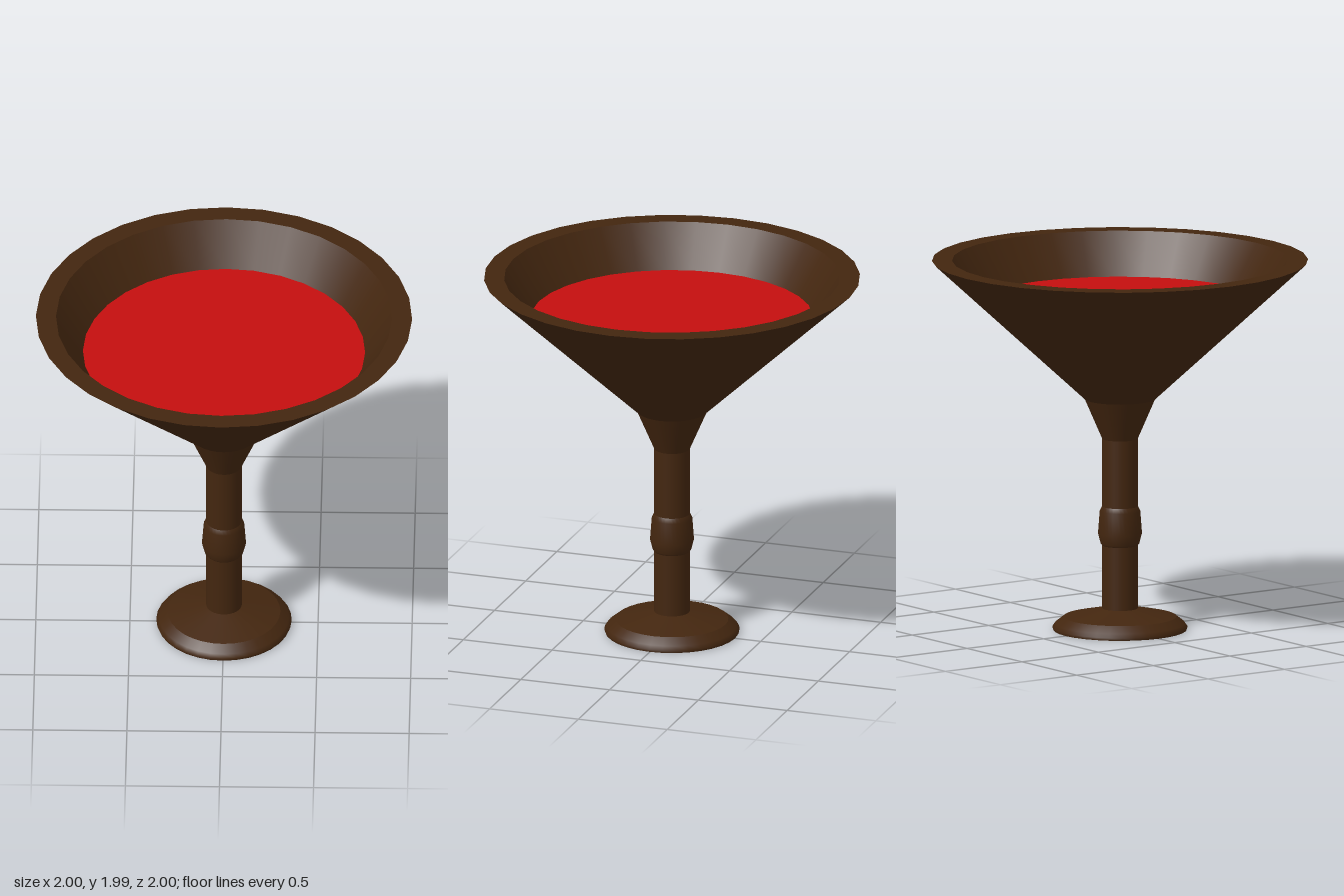
import * as THREE from 'three';

const SIDES = 32;

export function createModel() {
  const goblet = new THREE.Group();
  goblet.name = 'goblet';

  const wood = new THREE.MeshStandardMaterial({ color: 0x43260f });
  wood.name = 'dark brown';
  const wine = new THREE.MeshStandardMaterial({ color: 0xc40e0e });
  wine.name = 'red';

  // Each turned section is its own lathe, so edges between sections stay sharp.
  // Profiles are [radius, height] pairs and run up the outside, then down the inside.
  function turned(name, profile, material = wood) {
    const points = profile.map(([r, y]) => new THREE.Vector2(r, y));
    const mesh = new THREE.Mesh(new THREE.LatheGeometry(points, SIDES), material);
    mesh.name = name;
    goblet.add(mesh);
  }

  // Foot
  turned('footUnderside', [[0, 0], [0.355, 0]]);
  turned('footRim', [[0.355, 0], [0.36, 0.015], [0.345, 0.035], [0.3, 0.07]]);
  turned('footTop', [[0.3, 0.07], [0.095, 0.115]]);

  // Stem with its swollen knob
  turned('lowerStem', [[0.095, 0.115], [0.095, 0.455]]);
  turned('stemKnob', [[0.095, 0.455], [0.103, 0.465], [0.117, 0.52], [0.108, 0.64], [0.095, 0.665]]);
  turned('upperStem', [[0.095, 0.665], [0.095, 1.03]]);

  // Bowl
  turned('bowlNeck', [[0.095, 1.03], [0.188, 1.245]]);
  turned('bowlOutside', [[0.188, 1.245], [1, 1.993]]);
  turned('bowlRim', [[1, 1.993], [0.893, 1.993]]);
  turned('bowlInside', [[0.893, 1.993], [0.75, 1.77]]);

  // Drink filling the bowl
  turned('drinkSurface', [[0.75, 1.77], [0, 1.77]], wine);

  return goblet;
}
